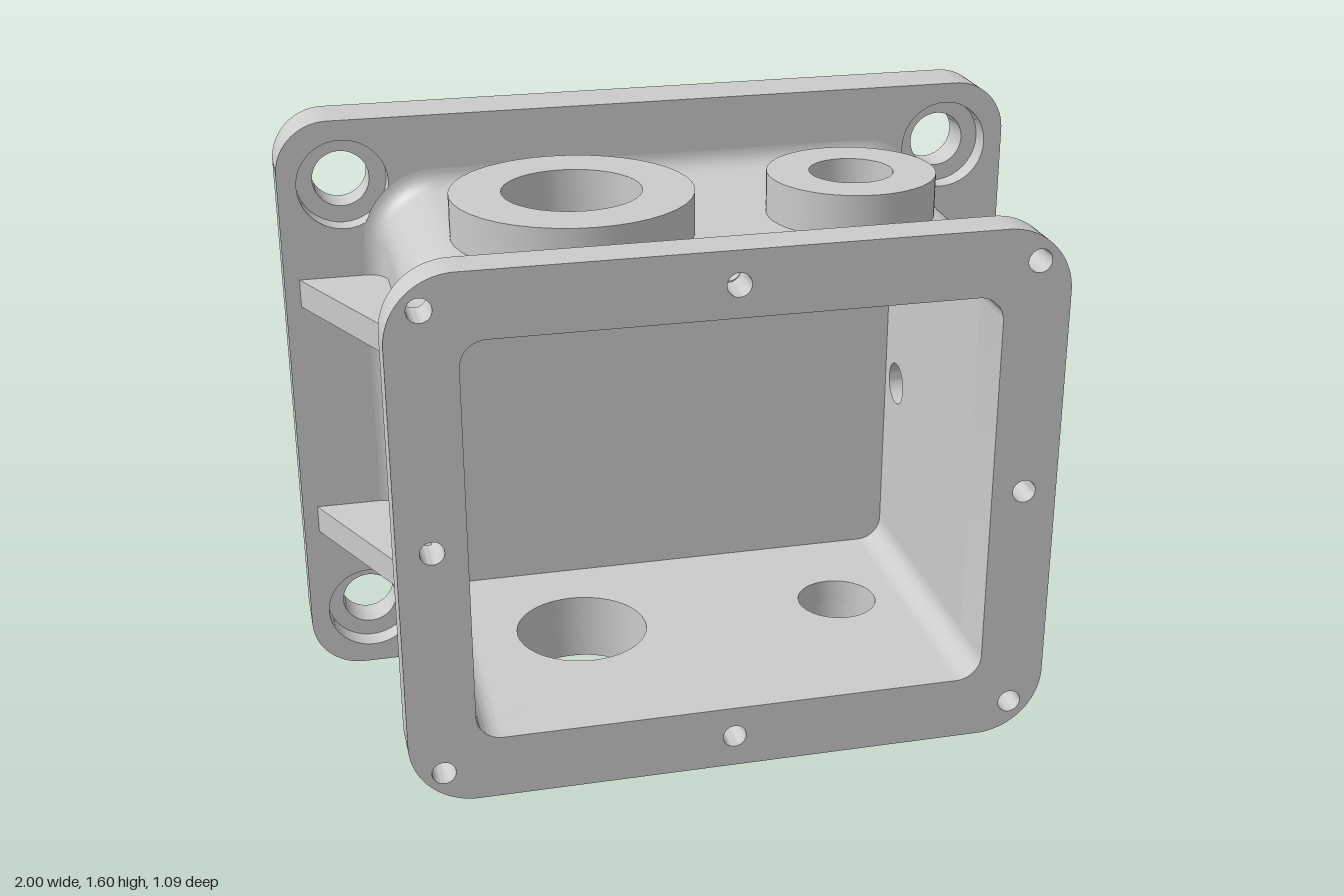
import * as THREE from 'three';
import { toCreasedNormals } from 'three/addons/utils/BufferGeometryUtils.js';

const HALF_PI = Math.PI / 2;
const W = 0.73, H = 0.6, R = 0.14, WALL = 0.075; // body half width, half height, corner radius, wall
const BACK = -0.39, RIM = 0.39;                  // z range of the main body walls
const SIGNS = [[1, 1], [-1, 1], [-1, -1], [1, -1]];
const material = new THREE.MeshStandardMaterial({ color: 0xcccccc });

function roundedRect(hw, hh, r) {
  const s = new THREE.Shape();
  SIGNS.forEach(([sx, sy], k) =>
    s.absarc(sx * (hw - r), sy * (hh - r), r, k * HALF_PI, (k + 1) * HALF_PI));
  s.closePath();
  return s;
}

function rect(hw, hh) {
  return new THREE.Shape([[-hw, -hh], [hw, -hh], [hw, hh], [-hw, hh]].map(p => new THREE.Vector2(...p)));
}

function circle(x, y, r) {
  return new THREE.Shape().absarc(x, y, r, 0, Math.PI * 2);
}

function extrude(shape, z0, z1, holes = []) {
  shape.holes.push(...holes);
  const g = new THREE.ExtrudeGeometry(shape, { depth: z1 - z0, bevelEnabled: false, curveSegments: 20 });
  g.translate(0, 0, z0);
  return toCreasedNormals(g, 0.6);
}

// Body outline with a half-round notch in the middle of each side
function notchedOutline() {
  const s = new THREE.Shape();
  const half = Math.acos(-1 / 3);
  SIGNS.forEach(([sx, sy], k) => {
    const a = k * HALF_PI, d = (k % 2 ? H : W) + 0.01;
    s.absarc(Math.cos(a) * d, Math.sin(a) * d, 0.03, a - half, a + half, true);
    s.absarc(sx * (W - R), sy * (H - R), R, a, a + HALF_PI);
  });
  s.closePath();
  return s;
}

// Concave fillet swept round the body where it meets the base plate
function filletGeometry(f) {
  const pos = [], index = [], rings = 8, seg = 10, n = 4 * (seg + 1);
  for (let i = 0; i <= rings; i++) {
    const a = i / rings * HALF_PI;
    const d = f - f * Math.cos(a), z = BACK + f - f * Math.sin(a);
    SIGNS.forEach(([sx, sy], k) => {
      for (let j = 0; j <= seg; j++) {
        const t = (k + j / seg) * HALF_PI;
        pos.push(sx * (W - R) + (R + d) * Math.cos(t), sy * (H - R) + (R + d) * Math.sin(t), z);
      }
    });
  }
  for (let i = 0; i < rings; i++) {
    for (let j = 0; j < n; j++) {
      const a = i * n + j, b = i * n + (j + 1) % n;
      index.push(a, a + n, b, b, a + n, b + n);
    }
  }
  const g = new THREE.BufferGeometry();
  g.setAttribute('position', new THREE.Float32BufferAttribute(pos, 3));
  g.setIndex(index);
  g.computeVertexNormals();
  return g;
}

export function createModel() {
  const model = new THREE.Group();
  model.name = 'junctionBox';
  const box = new THREE.Group();
  box.name = 'housing';
  box.position.y = 0.8;
  model.add(box);

  const add = (name, geometry) => {
    const m = new THREE.Mesh(geometry, material);
    m.name = name;
    box.add(m);
    return m;
  };

  // Base plate with counterbored corner holes
  const plateHoles = r => SIGNS.map(([sx, sy]) => circle(sx * 0.83, sy * 0.627, r));
  const step = BACK - 0.06;
  add('basePlateBack', extrude(roundedRect(1, 0.8, 0.14), -0.545, step, plateHoles(0.075)));
  add('basePlateFront', extrude(roundedRect(1, 0.8, 0.14), step, BACK, plateHoles(0.12)));
  add('baseFillet', filletGeometry(0.055));

  // Front flange with screw holes round the opening
  const opening = () => roundedRect(W - WALL, H - WALL, R - WALL);
  const screws = [];
  for (const x of [-0.74, 0, 0.74])
    for (const y of [-0.607, 0, 0.607])
      if (x || y) screws.push(circle(x, y, 0.03));
  add('frontFlange', extrude(roundedRect(0.825, 0.692, 0.17), 0.44, 0.545, [opening(), ...screws]));
  add('bodyRim', extrude(notchedOutline(), RIM, 0.44, [opening()]));

  // Rounded corners of the body
  const corner = new THREE.Shape();
  corner.absarc(0, 0, R, 0, HALF_PI);
  corner.absarc(0, 0, R - WALL, HALF_PI, 0, true);
  corner.closePath();
  const cornerGeometry = extrude(corner, BACK, RIM);
  SIGNS.forEach(([sx, sy], k) => {
    const m = add('bodyCorner', cornerGeometry);
    m.position.set(sx * (W - R), sy * (H - R), 0);
    m.rotation.z = k * HALF_PI;
  });

  // Top and bottom walls, each with a large and a small conduit boss
  const ports = [
    { name: 'largeBoss', x: -0.3, outer: 0.305, inner: 0.175 },
    { name: 'smallBoss', x: 0.42, outer: 0.215, inner: 0.107 },
  ];
  const portHole = p => circle(p.x, -0.05, p.inner);
  const wall = extrude(rect(W - R, RIM), H - WALL, H, ports.map(portHole)).rotateX(-HALF_PI);
  add('topWall', wall);
  add('bottomWall', wall.clone().translate(0, WALL - 2 * H, 0));
  for (const p of ports) {
    const boss = y0 => extrude(circle(p.x, -0.05, p.outer), y0, y0 + 0.125, [portHole(p)]).rotateX(-HALF_PI);
    add(p.name + 'Top', boss(0.583));
    add(p.name + 'Bottom', boss(-0.708));
  }

  // Side walls; the left one carries a small boss
  const sideHole = () => circle(0.2, 0, 0.058);
  add('leftWall', extrude(rect(RIM, H - R), W - WALL, W, [sideHole()]).rotateY(HALF_PI));
  add('rightWall', extrude(rect(RIM, H - R), -W, WALL - W).rotateY(HALF_PI));
  add('sideBoss', extrude(circle(0.2, 0, 0.133), W - 0.01, 0.835, [sideHole()]).rotateY(HALF_PI));

  // Inner back wall
  add('innerFloor', new THREE.BoxGeometry(1.34, 1.08, 0.1).translate(0, 0, -0.34));

  // Triangular ribs bracing the sides to the base plate
  const ribShape = new THREE.Shape([[0.73, -0.11], [0.96, 0.39], [0.72, 0.39], [0.72, -0.11]]
    .map(p => new THREE.Vector2(...p)));
  const rib = extrude(ribShape, -0.038, 0.038).rotateX(-HALF_PI);
  for (const turn of [0, Math.PI]) {
    for (const y of [-0.332, 0.336]) {
      const m = add('rib', rib);
      m.rotation.z = turn;
      m.position.y = y;
    }
  }
  return model;
}
